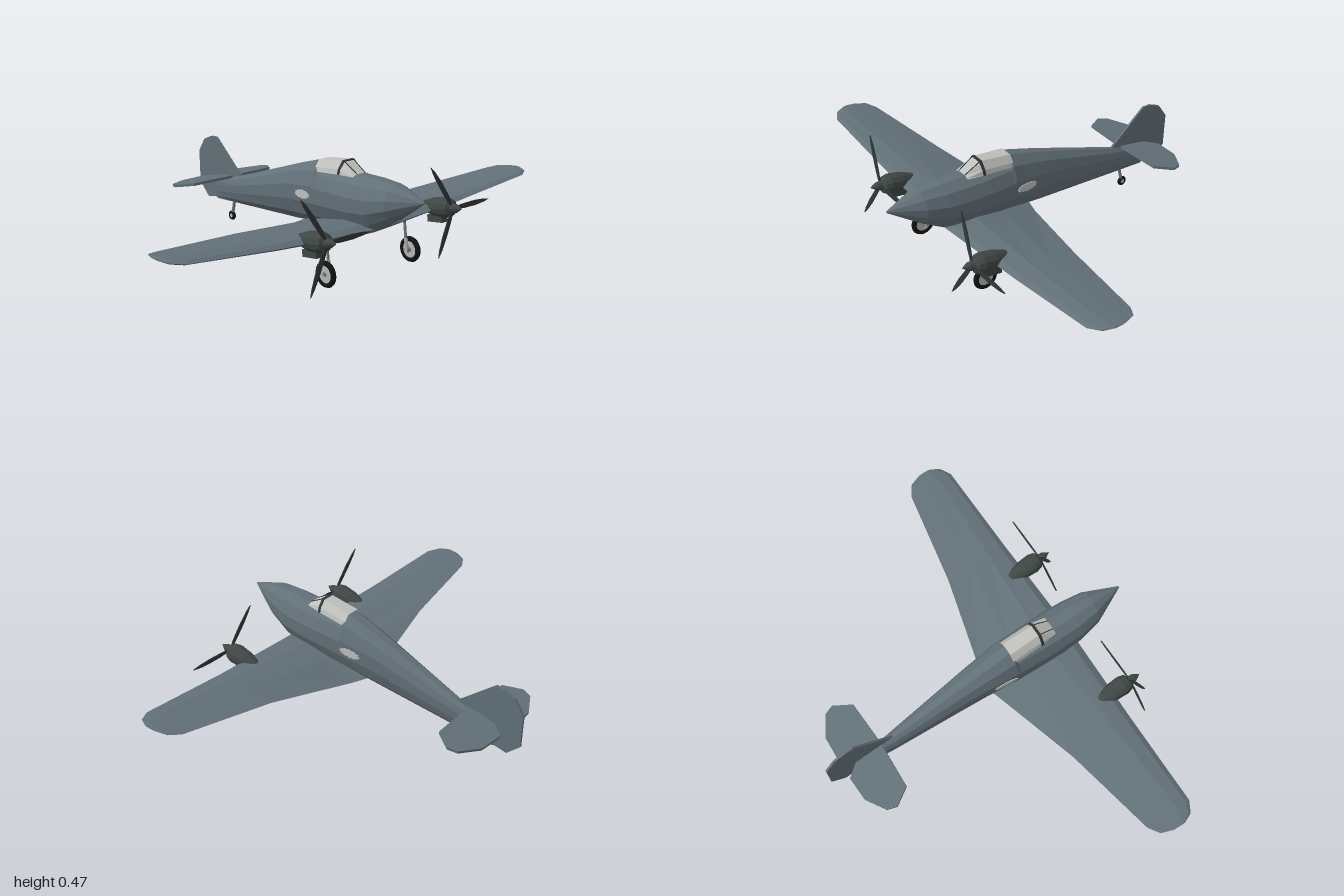
import * as THREE from 'three';

const mat = (name, color) => Object.assign(new THREE.MeshStandardMaterial({ color }), { name });
const V = (x, y, z) => new THREE.Vector3(x, y, z);

// Faceted skin over a row of cross-sections, each counter-clockwise about the row's direction
function loft(rings) {
  const pos = [], n = rings[0].length;
  const tri = (...pts) => pts.forEach(p => pos.push(p.x, p.y, p.z));
  for (let i = 0; i < rings.length - 1; i++)
    for (let j = 0; j < n; j++) {
      const k = (j + 1) % n, a = rings[i], b = rings[i + 1];
      tri(a[j], a[k], b[k]);
      tri(a[j], b[k], b[j]);
    }
  const first = rings[0], last = rings[rings.length - 1];
  for (let j = 1; j < n - 1; j++) {
    tri(first[0], first[j + 1], first[j]);
    tri(last[0], last[j], last[j + 1]);
  }
  const g = new THREE.BufferGeometry();
  g.setAttribute('position', new THREE.Float32BufferAttribute(pos, 3));
  g.computeVertexNormals();
  return g;
}

// Flat plate centred on its own thickness
function plate(points, depth) {
  const shape = new THREE.Shape(points.map(p => new THREE.Vector2(...p)));
  return new THREE.ExtrudeGeometry(shape, { depth, bevelEnabled: false }).translate(0, 0, -depth / 2);
}

function add(parent, name, geometry, material) {
  const m = new THREE.Mesh(geometry, material);
  m.name = name;
  parent.add(m);
  return m;
}

function rod(parent, name, a, b, r, material) {
  const d = b.clone().sub(a);
  const m = add(parent, name, new THREE.CylinderGeometry(r, r, d.length(), 8), material);
  m.position.copy(a).add(b).multiplyScalar(0.5);
  m.quaternion.setFromUnitVectors(V(0, 1, 0), d.normalize());
}

export function createModel() {
  const root = new THREE.Group();
  root.name = 'airplane';
  const body = mat('blue grey paint', 0x627078);
  const engine = mat('dark engine grey', 0x3f4744);
  const blade = mat('propeller black', 0x2f3535);
  const glass = mat('pale canopy', 0xc0c0bd);
  const rubber = mat('tyre black', 0x111212);
  const metal = mat('light metal', 0xb4b6b4);
  const strutMat = mat('strut grey', 0x737a7c);

  // Fuselage: z, top, bottom, half width, height of the widest line
  const sections = [
    [-0.61, 0.19, 0.09, 0.01, 0.14], [-0.43, 0.238, 0.107, 0.033, 0.18],
    [0, 0.39, 0.145, 0.072, 0.28], [0.165, 0.443, 0.165, 0.088, 0.295],
    [0.18, 0.42, 0.168, 0.089, 0.297], [0.31, 0.42, 0.18, 0.093, 0.305],
    [0.4, 0.423, 0.188, 0.094, 0.31], [0.5, 0.427, 0.21, 0.09, 0.32],
    [0.6, 0.425, 0.27, 0.073, 0.345], [0.75, 0.384, 0.376, 0.004, 0.38]];
  const flat = Math.cos(Math.PI / 12);
  add(root, 'fuselage', loft(sections.map(([z, top, bot, w, mid]) =>
    Array.from({ length: 12 }, (_, i) => {
      const t = (i + 0.5) * Math.PI / 6, s = Math.sin(t) / flat;
      return V(w * Math.cos(t) / flat, mid + s * (s > 0 ? top - mid : mid - bot), z);
    }))), body);

  // Wing: x, leading z, trailing z, leading y, trailing y, half thickness
  const half = [
    [0, 0.505, 0.05, 0.215, 0.152, 0.04], [0.1, 0.5, 0.08, 0.218, 0.158, 0.038],
    [0.5, 0.485, 0.18, 0.235, 0.218, 0.025], [0.93, 0.47, 0.255, 0.268, 0.258, 0.015],
    [0.98, 0.44, 0.285, 0.273, 0.268, 0.01], [1, 0.395, 0.34, 0.276, 0.274, 0.003]];
  const foil = [[1, 0], [0.6, 0.7], [0.3, 1], [0.08, 0.6], [0, 0], [0.08, -0.5], [0.3, -0.7], [0.6, -0.45]];
  const span = [...half.slice(1).reverse().map(([x, ...r]) => [-x, ...r]), ...half];
  add(root, 'wing', loft(span.map(([x, zl, zt, yl, yt, h]) =>
    foil.map(([c, u]) => V(x, yl + (yt - yl) * c + u * h, zl + (zt - zl) * c)))), body);

  // Tail surfaces
  const fin = [[-0.42, 0.235], [-0.44, 0.15], [-0.6, 0.1], [-0.68, 0.085], [-0.745, 0.145],
    [-0.75, 0.3], [-0.705, 0.365], [-0.65, 0.388], [-0.61, 0.39]];
  add(root, 'tailFin', plate(fin, 0.01).rotateY(-Math.PI / 2), body);
  const side = [[0.22, 0.085], [0.27, 0.005], [0.255, -0.04], [0.165, -0.095], [0.05, -0.1]];
  const tail = add(root, 'tailplane', plate([[0, 0.095], ...side, [0, -0.035],
    ...side.map(([x, z]) => [-x, z]).reverse()], 0.012).rotateX(Math.PI / 2), body);
  tail.position.set(0, 0.207, -0.575);
  tail.rotation.x = -0.187;

  // Canopy: z, base, top, half width at base, half width at top
  const canopyRing = ([z, base, top, w, t], grow = 0) => [
    V(w + grow, base, z), V(w * 0.9 + grow, base + (top - base) * 0.4, z), V(t + grow, top + grow, z),
    V(-t - grow, top + grow, z), V(-w * 0.9 - grow, base + (top - base) * 0.4, z), V(-w - grow, base, z)];
  const hood = [[0.16, 0.395, 0.444, 0.058, 0.03], [0.31, 0.412, 0.466, 0.057, 0.026],
    [0.385, 0.414, 0.424, 0.044, 0.022]];
  add(root, 'canopy', loft(hood.map(r => canopyRing(r))), glass);
  const bow = hood[1].slice(1);
  add(root, 'canopyFrame', loft([[0.303, ...bow], [0.315, ...bow]].map(r => canopyRing(r, 0.002))), blade);
  for (const s of [-1, 1])
    rod(root, 'windscreenBar', V(s * 0.026, 0.465, 0.312), V(s * 0.022, 0.425, 0.385), 0.002, blade);

  // Ragged pale patch outline
  const patch = Array.from({ length: 24 }, (_, i) => {
    const t = i * Math.PI / 12, r = 1 + (i % 2 ? -0.1 : 0.06);
    return [0.052 * r * Math.cos(t), 0.019 * r * Math.sin(t) + 0.08 * Math.cos(t) * 0.05];
  });

  // Engine profile along its axis, and one propeller blade
  const profile = [[0, -0.175], [0.024, -0.165], [0.041, -0.1], [0.045, -0.04], [0.037, -0.012],
    [0.021, -0.004], [0.018, 0.02], [0, 0.05]].map(p => new THREE.Vector2(...p));
  const bladeShape = [[0.01, -0.005], [0.06, -0.011], [0.13, -0.012], [0.19, -0.007], [0.222, 0],
    [0.19, 0.006], [0.13, 0.01], [0.06, 0.009], [0.01, 0.005]];

  for (const s of [-1, 1]) {
    const mark = add(root, 'sidePatch', plate(patch, 0.004).rotateY(-Math.PI / 2), glass);
    mark.position.set(s * 0.084, 0.289, 0.11);
    mark.rotation.y = s * 0.1;

    const unit = new THREE.Group();
    unit.name = s > 0 ? 'leftEngine' : 'rightEngine';
    unit.position.set(s * 0.352, 0.25, 0.58);
    unit.rotation.x = -0.157;
    root.add(unit);
    add(unit, 'nacelle', new THREE.LatheGeometry(profile, 12).rotateX(Math.PI / 2).toNonIndexed(), engine)
      .geometry.computeVertexNormals();
    add(unit, 'intake', new THREE.BoxGeometry(0.034, 0.03, 0.085), engine).position.set(0, -0.05, -0.098);
    for (let i = 0; i < 3; i++)
      add(unit, 'propellerBlade', plate(bladeShape, 0.005), blade).rotation.z = i * Math.PI * 2 / 3;

    // Main landing gear
    const gear = new THREE.Group();
    gear.name = s > 0 ? 'leftLandingGear' : 'rightLandingGear';
    root.add(gear);
    const wheel = V(s * 0.24, 0.058, 0.445);
    add(gear, 'tyre', new THREE.TorusGeometry(0.046, 0.0115, 8, 20).rotateY(Math.PI / 2), rubber).position.copy(wheel);
    add(gear, 'wheelHub', new THREE.CylinderGeometry(0.04, 0.04, 0.012, 20).rotateZ(Math.PI / 2), metal).position.copy(wheel);
    rod(gear, 'axle', V(s * 0.215, 0.058, 0.445), V(s * 0.25, 0.058, 0.445), 0.01, strutMat);
    rod(gear, 'lowerStrut', V(s * 0.22, 0.045, 0.446), V(s * 0.22, 0.11, 0.436), 0.008, metal);
    rod(gear, 'upperStrut', V(s * 0.22, 0.1, 0.437), V(s * 0.22, 0.21, 0.422), 0.006, strutMat);
  }

  // Tail wheel
  add(root, 'tailTyre', new THREE.TorusGeometry(0.015, 0.008, 8, 14).rotateY(Math.PI / 2), rubber).position.set(0, 0.03, -0.5);
  add(root, 'tailHub', new THREE.CylinderGeometry(0.01, 0.01, 0.014, 12).rotateZ(Math.PI / 2), metal).position.set(0, 0.03, -0.5);
  rod(root, 'tailStrut', V(0, 0.03, -0.498), V(0, 0.115, -0.478), 0.007, strutMat);

  return root;
}
